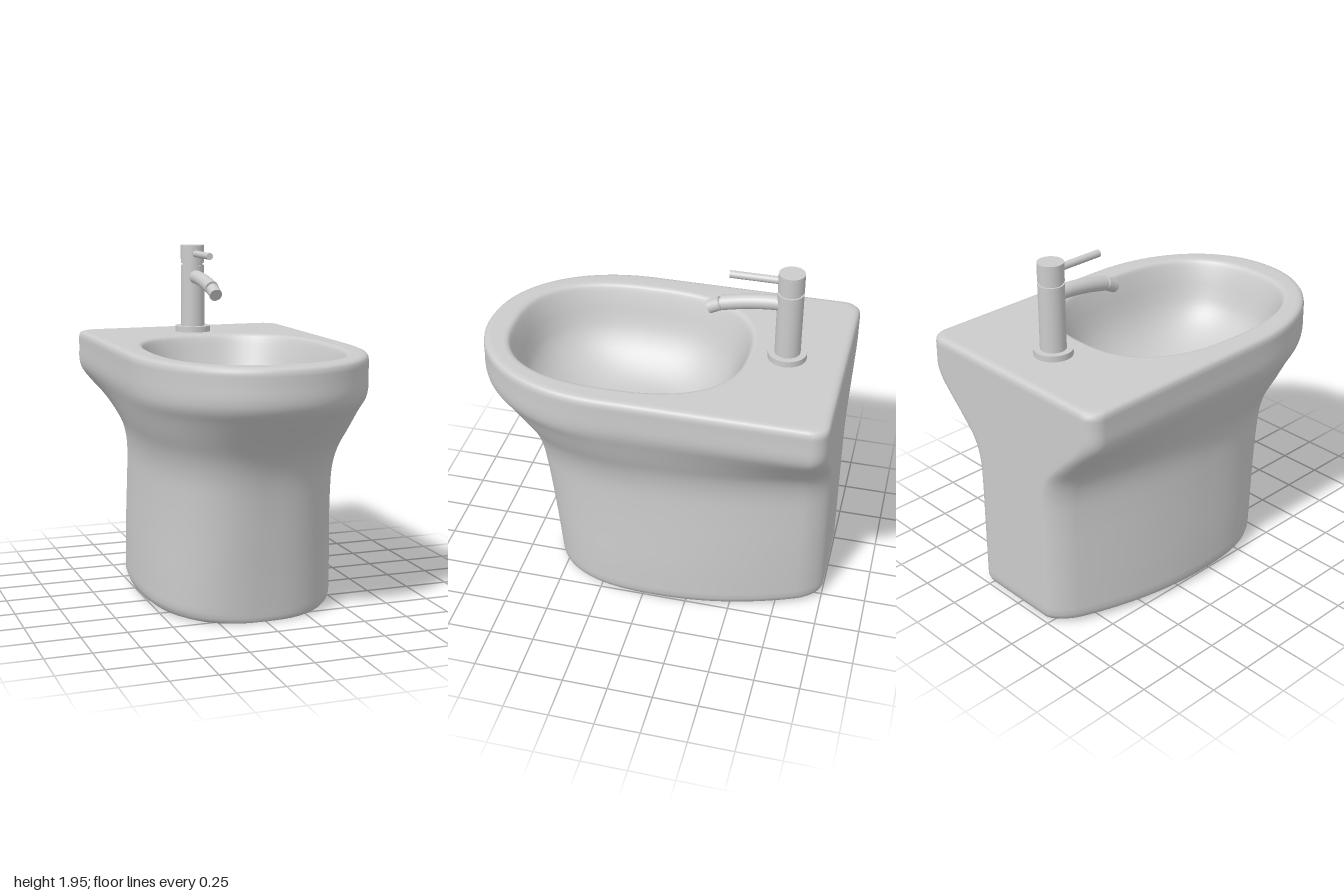
import * as THREE from 'three';

const mat = new THREE.MeshStandardMaterial({ color: 0xcccccc, roughness: 0.5, side: THREE.DoubleSide });

// Rows: [height, half width, half width at back, front z, z of widest point, back z, front squareness, corner radius]
const BODY = [
  [0.06, 0.532, 0.305, 0.59, -0.08, -1, 2.6, 0.13],
  [0.25, 0.527, 0.305, 0.61, -0.08, -1, 2.6, 0.13],
  [0.45, 0.517, 0.305, 0.635, -0.08, -1, 2.6, 0.13],
  [0.65, 0.508, 0.305, 0.663, -0.06, -1, 2.6, 0.13],
  [0.8, 0.508, 0.315, 0.695, -0.03, -1, 2.55, 0.13],
  [0.92, 0.53, 0.36, 0.747, 0.02, -1, 2.45, 0.13],
  [1.03, 0.573, 0.46, 0.83, 0.09, -1, 2.3, 0.12],
  [1.13, 0.61, 0.565, 0.92, 0.15, -1, 2.15, 0.11],
  [1.2, 0.635, 0.625, 0.98, 0.2, -1, 2.1, 0.1],
  [1.26, 0.645, 0.645, 1, 0.2, -1, 2.1, 0.09],
  [1.34, 0.645, 0.645, 1, 0.2, -1, 2.1, 0.09],
  [1.4, 0.645, 0.645, 1, 0.2, -1, 2.1, 0.09],
];

// Smooth interpolation between neighbouring rows
function refine(rows, steps) {
  const out = [];
  for (let i = 0; i < rows.length - 1; i++) {
    const p = [i - 1, i, i + 1, i + 2].map(k => rows[Math.max(0, Math.min(rows.length - 1, k))]);
    for (let s = 0; s < steps; s++) {
      const t = s / steps;
      out.push(p[1].map((v, c) => {
        const m0 = (p[2][c] - p[0][c]) / 2, m1 = (p[3][c] - v) / 2, d = p[2][c] - v;
        return v + m0 * t + (3 * d - 2 * m0 - m1) * t * t + (m0 + m1 - 2 * d) * t * t * t;
      }));
    }
  }
  out.push(rows[rows.length - 1]);
  return out;
}

// Plan outline: rounded front, sides tapering to a flat back with round corners
function outline([y, w, wb, zf, zs, back, n, r]) {
  const pts = [];
  const power = v => Math.sign(v) * Math.pow(Math.abs(v), 2 / n);
  for (let i = 0; i <= 56; i++) {
    const a = Math.PI * i / 56, c = i === 28 ? 0 : Math.cos(a);
    pts.push([w * power(c), zs + (zf - zs) * power(i === 56 ? 0 : Math.sin(a))]);
  }
  const side = k => zs + (back + r - zs) * k / 16;
  for (let k = 1; k < 16; k++) pts.push([-w, side(k)]);
  for (let k = 0; k <= 8; k++) {
    const a = Math.PI * (1 + k / 16);
    pts.push([-w + r + r * Math.cos(a), back + r + r * Math.sin(a)]);
  }
  for (let k = 1; k < 16; k++) pts.push([(w - r) * (k / 8 - 1), back]);
  for (let k = 0; k <= 8; k++) {
    const a = Math.PI * (1.5 + k / 16);
    pts.push([w - r + r * Math.cos(a), back + r + r * Math.sin(a)]);
  }
  for (let k = 15; k > 0; k--) pts.push([w, side(k)]);
  return pts.map(([x, z]) => {
    const t = Math.max(0, (zs - z) / (zs + 1));
    return [x * (1 - (1 - wb / w) * t * t), y, z];
  });
}

// Skin over closed rings of equal point count
function loft(rings) {
  const n = rings[0].length, index = [];
  for (let i = 0; i < rings.length - 1; i++) {
    for (let j = 0; j < n; j++) {
      const a = i * n + j, b = i * n + (j + 1) % n;
      index.push(a, a + n, b, b, a + n, b + n);
    }
  }
  const g = new THREE.BufferGeometry();
  g.setAttribute('position', new THREE.Float32BufferAttribute(rings.flat(2), 3));
  g.setIndex(index);
  g.computeVertexNormals();
  return g;
}

function basinGeometry() {
  const first = BODY[0], last = BODY[BODY.length - 1];
  // Row shrunk inwards, less at the front than at the sides if wanted
  const inset = (row, y, d, df = d) => [y, row[1] - d, row[2] - d, row[3] - df, row[4], row[5] + d, row[6], row[7]];
  const foot = [inset(first, 0, 0.085, 0.03), inset(first, 0.001, 0.065, 0.012),
    inset(first, 0.011, 0.034, 0.006), inset(first, 0.03, 0.011, 0.002)];
  const rim = [inset(last, 1.417, 0.003), inset(last, 1.428, 0.011), inset(last, 1.434, 0.025), inset(last, 1.436, 0.045)];
  const rings = [...foot, ...refine(BODY, 4), ...rim].map(outline);
  rings.unshift(rings[0].map(([x, , z]) => [x * 0.001, 0, -0.2 + (z + 0.2) * 0.001]));

  // Bowl rows: [height, half width, half length, centre z]
  const bowl = refine([
    [1.436, 0.535, 0.69, 0.185], [1.43, 0.513, 0.668, 0.185], [1.405, 0.498, 0.65, 0.185],
    [1.33, 0.472, 0.62, 0.185], [1.25, 0.448, 0.59, 0.188], [1.17, 0.415, 0.553, 0.19],
    [1.09, 0.36, 0.485, 0.185], [1.02, 0.28, 0.385, 0.17], [0.975, 0.19, 0.27, 0.15],
    [0.965, 0.09, 0.13, 0.14], [0.965, 0.0004, 0.0005, 0.14],
  ], 3);
  const edge = rings[rings.length - 1];
  for (const [y, a, b, cz] of bowl) {
    rings.push(edge.map(([x, , z]) => {
      const t = Math.atan2(z - 0.18, x), c = Math.cos(t), s = Math.sin(t), n = 2.5;
      const r = Math.pow(Math.pow(Math.abs(c) / a, n) + Math.pow(Math.abs(s) / b, n), -1 / n);
      return [r * c, y, cz + r * s];
    }));
  }
  return loft(rings);
}

export function createModel() {
  const model = new THREE.Group();
  const add = (name, geometry, parent = model) => {
    const m = new THREE.Mesh(geometry, mat);
    m.name = name;
    parent.add(m);
    return m;
  };
  add('basin', basinGeometry());

  // Mixer tap
  const tap = new THREE.Group();
  tap.name = 'tap';
  tap.position.z = -0.68;
  model.add(tap);
  const upright = (name, r, y0, y1) => {
    add(name, new THREE.CylinderGeometry(r, r, y1 - y0, 40), tap).position.y = (y0 + y1) / 2;
  };
  upright('tapFlange', 0.105, 1.43, 1.47);
  upright('tapColumn', 0.07, 1.47, 1.832);
  upright('tapNeck', 0.06, 1.832, 1.845);
  upright('tapCap', 0.07, 1.845, 1.95);

  // Straight rod between two points in the plane x = 0, given as [y, z]
  const rod = (name, r, [y0, z0], [y1, z1]) => {
    const a = new THREE.Vector3(0, y0, z0), b = new THREE.Vector3(0, y1, z1);
    const m = add(name, new THREE.CylinderGeometry(r, r, a.distanceTo(b), 24), tap);
    m.position.copy(a).lerp(b, 0.5);
    m.quaternion.setFromUnitVectors(new THREE.Vector3(0, 1, 0), b.sub(a).normalize());
  };
  rod('lever', 0.02, [1.9, 0.05], [1.9, 0.325]);

  // Curved spout, closed at its end, with an angled nozzle
  const path = new THREE.CatmullRomCurve3([[1.764, 0.04], [1.761, 0.12], [1.746, 0.24], [1.721, 0.36]]
    .map(([y, z]) => new THREE.Vector3(0, y, z)));
  add('spout', new THREE.TubeGeometry(path, 24, 0.04, 24), tap);
  rod('spoutEnd', 0.04, [1.723, 0.35], [1.72, 0.362]);
  rod('spoutJoint', 0.028, [1.722, 0.355], [1.713, 0.378]);
  rod('nozzle', 0.037, [1.716, 0.37], [1.685, 0.432]);
  return model;
}
